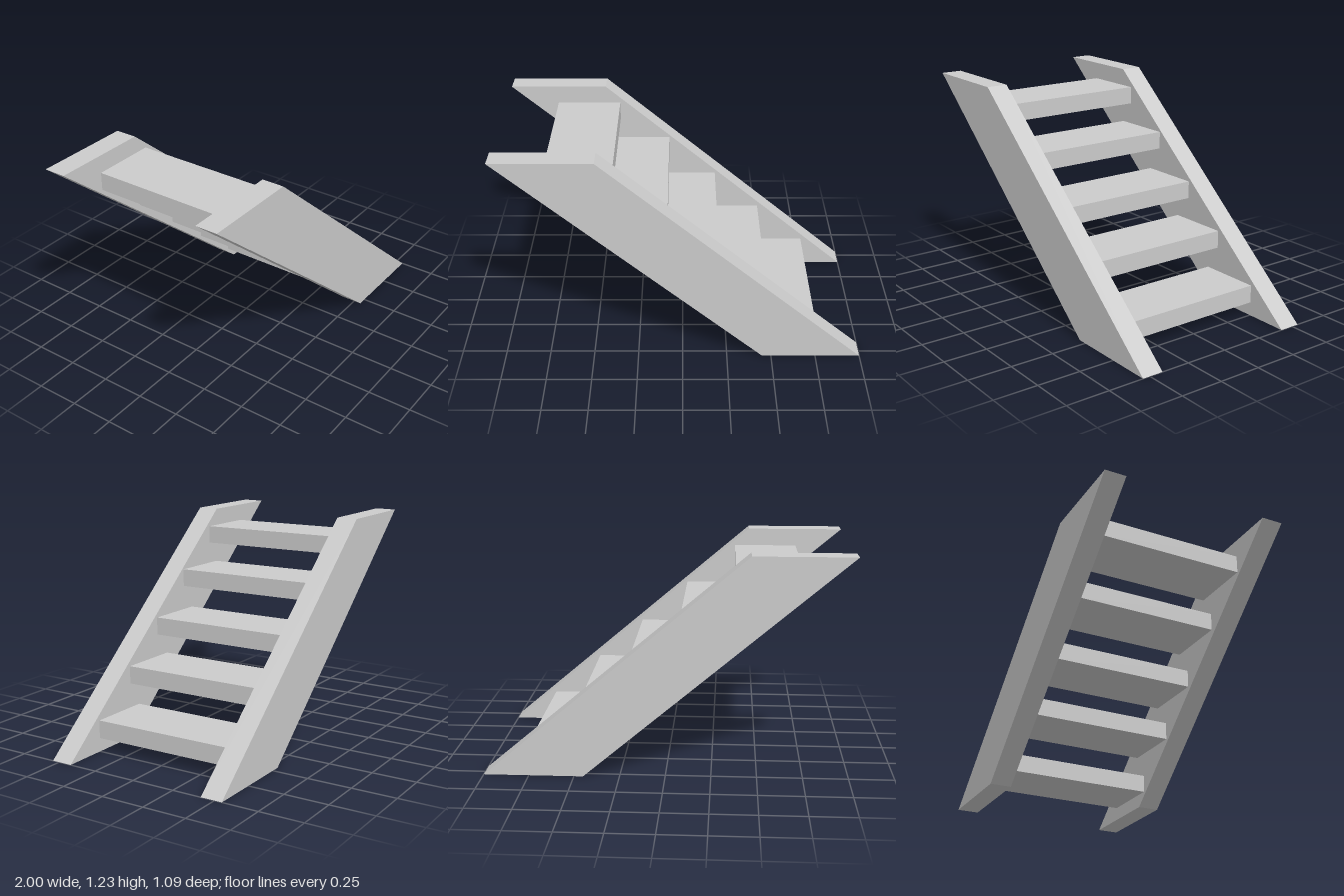
import * as THREE from 'three';

export function createModel() {
  const group = new THREE.Group();
  const material = new THREE.MeshStandardMaterial({ color: 0xcccccc, flatShading: true });

  // Slanted side boards, cut level at floor and top
  const thickness = 0.124;
  const profile = new THREE.Shape([
    new THREE.Vector2(0.45, 0),
    new THREE.Vector2(1, 0),
    new THREE.Vector2(-0.45, 1.23),
    new THREE.Vector2(-1, 1.23),
  ]);
  const boardGeometry = new THREE.ExtrudeGeometry(profile, { depth: thickness, bevelEnabled: false });
  boardGeometry.translate(0, 0, -thickness / 2);
  for (const [name, side] of [['frontStringer', 1], ['backStringer', -1]]) {
    const board = new THREE.Mesh(boardGeometry, material);
    board.name = name;
    board.position.z = side * 0.481;
    group.add(board);
  }

  // Open treads between the boards: [front edge x, top y]
  const depth = 0.363, height = 0.102;
  const treadGeometry = new THREE.BoxGeometry(depth, height, 0.838);
  const treads = [[0.75, 0.18], [0.465, 0.424], [0.197, 0.657], [-0.08, 0.902], [-0.368, 1.13]];
  treads.forEach(([edge, top], i) => {
    const tread = new THREE.Mesh(treadGeometry, material);
    tread.name = `tread${i + 1}`;
    tread.position.set(edge - depth / 2, top - height / 2, 0);
    group.add(tread);
  });

  return group;
}
